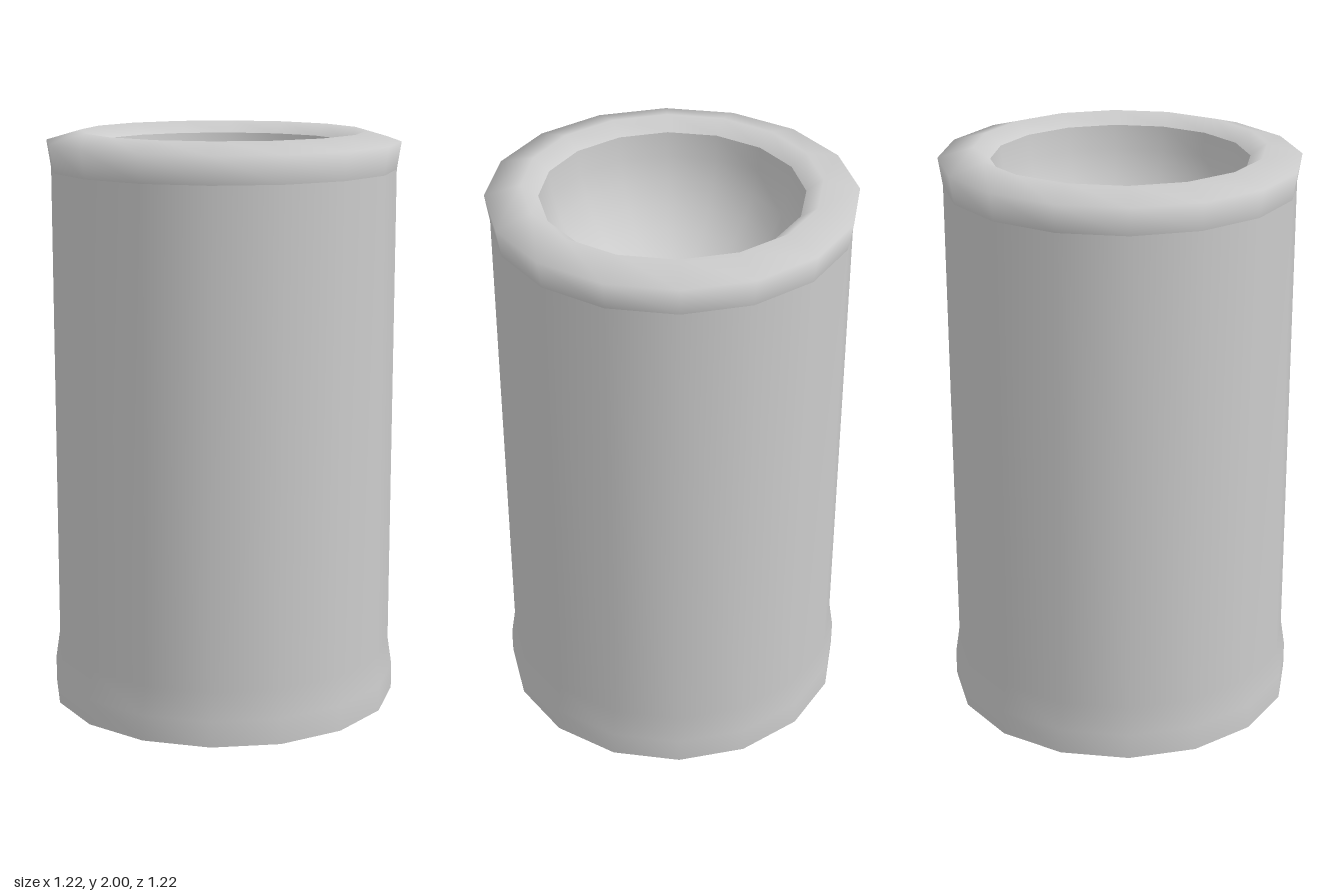
import * as THREE from 'three';

const SIDES = 16;

export function createModel() {
  const model = new THREE.Group();
  model.name = 'pot';
  const material = new THREE.MeshStandardMaterial({ color: 0xcccccc, side: THREE.DoubleSide });

  const lathe = (name, profile) => {
    const points = profile.map(([r, y]) => new THREE.Vector2(r, y));
    const mesh = new THREE.Mesh(new THREE.LatheGeometry(points, SIDES), material);
    mesh.name = name;
    model.add(mesh);
  };

  // Thin outer wall, open underneath, with a slightly flared foot
  lathe('wall', [[0.61, 0], [0.61, 0.09], [0.595, 0.19], [0.595, 1.87]]);

  // Flared rim rolling over to the mouth
  lathe('rim', [[0.595, 1.87], [0.61, 1.965], [0.49, 2], [0.435, 1.96]]);

  // Rounded bowl sunk into the mouth
  const bowl = [];
  const steps = 8;
  for (let i = 0; i <= steps; i++) {
    const a = (i / steps) * Math.PI / 2;
    bowl.push([i === steps ? 0 : 0.435 * Math.cos(a), 1.96 - 0.44 * Math.sin(a)]);
  }
  lathe('bowl', bowl);

  return model;
}
